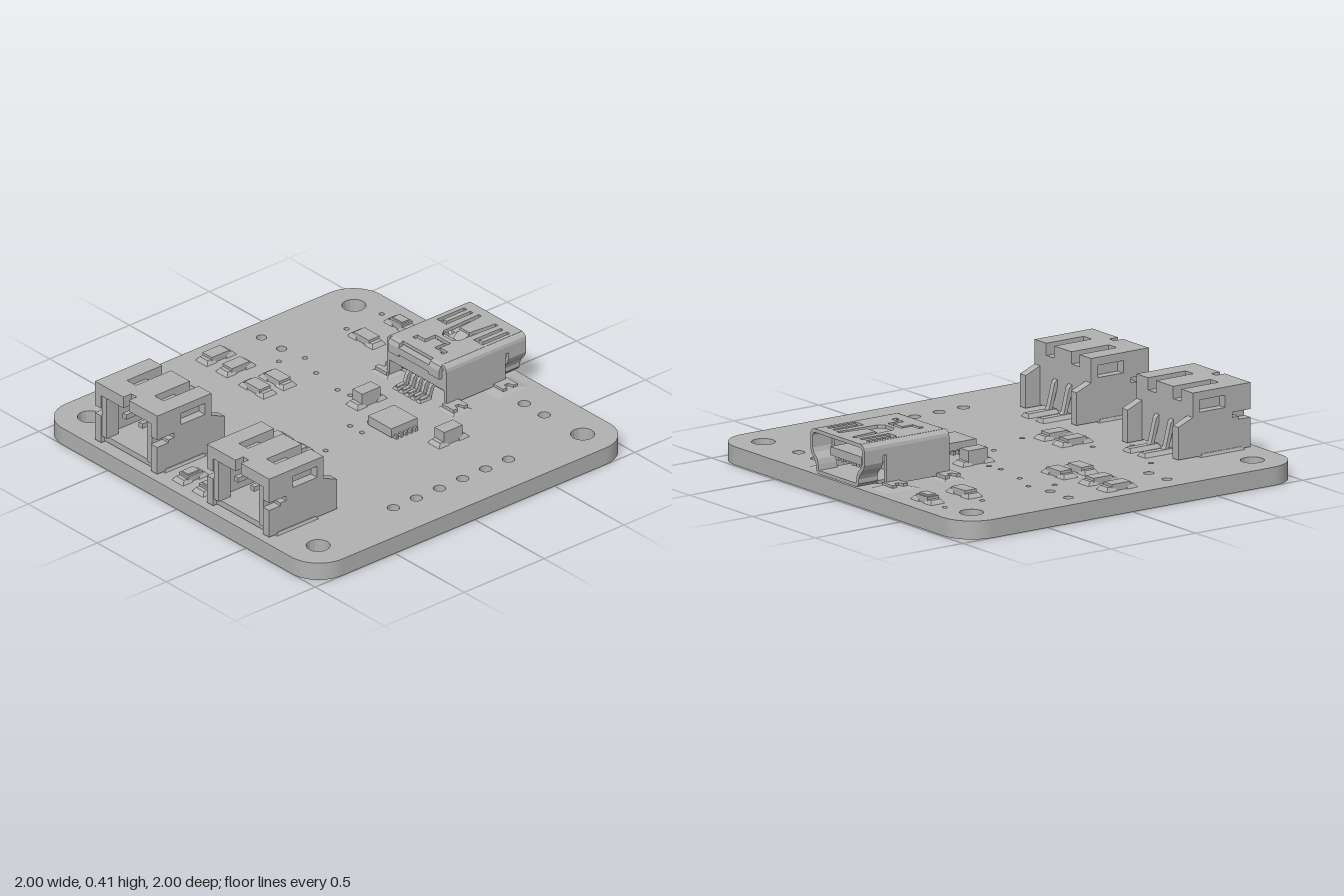
import * as THREE from 'three';

const grey = new THREE.MeshStandardMaterial({ color: 0xb2b2b2, side: THREE.DoubleSide });
grey.name = 'plain grey';
const TOP = 0.09; // upper face of the board

function add(parent, name, geo) {
  const m = new THREE.Mesh(geo, grey);
  m.name = name;
  parent.add(m);
  return m;
}

// Box standing on y0; tx and tz scale its upper face
function box(parent, name, x0, x1, y0, y1, z0, z1, tx = 1, tz = 1) {
  let g = new THREE.BoxGeometry(x1 - x0, y1 - y0, z1 - z0);
  if (tx !== 1 || tz !== 1) {
    const p = g.attributes.position;
    for (let i = 0; i < p.count; i++) {
      if (p.getY(i) > 0) p.setXYZ(i, p.getX(i) * tx, p.getY(i), p.getZ(i) * tz);
    }
    g = g.toNonIndexed();
    g.computeVertexNormals();
  }
  g.translate((x0 + x1) / 2, (y0 + y1) / 2, (z0 + z1) / 2);
  return add(parent, name, g);
}

const poly = (pts) => new THREE.Shape(pts.map((p) => new THREE.Vector2(...p)));
const extrude = (shape, depth) =>
  new THREE.ExtrudeGeometry(shape, { depth, bevelEnabled: false, curveSegments: 8 });

// Plan outline in (x, z), raised from y0 to y1
function plan(parent, name, pts, y0, y1, holes = []) {
  const flip = (a) => a.map(([x, z]) => [x, -z]);
  const s = poly(flip(pts));
  s.holes = holes.map((h) => poly(flip(h)));
  return add(parent, name, extrude(s, y1 - y0).rotateX(-Math.PI / 2).translate(0, y0, 0));
}

// Side outline in (z, y), spanning x0 to x1
function side(parent, name, pts, x0, x1, holes = []) {
  const s = poly(pts);
  s.holes = holes.map(poly);
  return add(parent, name, extrude(s, x1 - x0).rotateY(-Math.PI / 2).translate(x1, 0, 0));
}

// Front outline in (x, y), spanning z0 to z1
function cross(parent, name, pts, z0, z1) {
  return add(parent, name, extrude(poly(pts), z1 - z0).translate(0, 0, z0));
}

const rect = (x0, x1, z0, z1) => [[x0, z0], [x1, z0], [x1, z1], [x0, z1]];
const mirror = (pts) => pts.map(([x, y]) => [-x, y]);

function board(parent) {
  const s = new THREE.Shape(), r = 0.17, a = 0.995;
  const q = Math.PI / 2;
  [[1, 1], [-1, 1], [-1, -1], [1, -1]].forEach(([i, j], k) =>
    s.absarc(i * (a - r + 0.004), j * (a - r), r, k * q, (k + 1) * q, false));
  s.closePath();
  const drill = (r0, list) => list.forEach(([x, z]) => {
    const h = new THREE.Path();
    h.absarc(x, -z - 0.005 + 0.01, r0, 0, Math.PI * 2, true);
    s.holes.push(h);
  });
  drill(0.058, [[-0.83, -0.825], [0.825, -0.825], [-0.83, 0.83], [0.825, 0.83]]);
  drill(0.03, [[0.42, -0.81], [0.565, -0.81]]);
  drill(0.03, [-0.4, -0.257, -0.113, 0.032, 0.177, 0.32].map((z) => [0.78, z]));
  drill(0.025, [[-0.88, -0.29], [-0.735, -0.29], [-0.88, 0.29], [-0.735, 0.29]]);
  drill(0.013, [[-0.68, -0.87], [-0.68, -0.65], [-0.595, -0.315], [-0.65, -0.2], [-0.45, -0.26],
    [-0.26, -0.23], [-0.18, -0.24], [0.045, -0.045], [0.13, -0.045], [0.15, 0.2],
    [-0.18, 0.37], [-0.59, 0.41], [-0.275, 0.535]]);
  add(parent, 'circuitBoard', extrude(s, TOP).rotateX(-Math.PI / 2).translate(0, 0, 0.005));
}

// Small two-ended part; its length runs along x unless turned
function chip(parent, name, x, z, len, wid, h, turned, lamp) {
  const g = new THREE.Group();
  g.name = name;
  for (const s of [-1, 1]) {
    const c = s * (len / 2 + 0.005);
    const m = box(g, 'solderFillet', -0.032, 0.032, TOP, TOP + 0.02, -wid / 2 - 0.008, wid / 2 + 0.008, 0.5, 0.7);
    m.position.x = c;
  }
  box(g, 'chipBody', -len / 2, len / 2, TOP, TOP + h, -wid / 2, wid / 2);
  if (lamp) box(g, 'lampLens', -len / 2 + 0.01, len / 2 - 0.01, TOP + h, TOP + h + 0.008, -wid / 2 + 0.01, wid / 2 - 0.01);
  g.position.set(x, 0, z);
  if (turned) g.rotation.y = Math.PI / 2;
  parent.add(g);
}

function controller(parent) {
  box(parent, 'controllerChip', 0.1, 0.27, TOP + 0.008, 0.145, -0.272, -0.108);
  for (let i = 0; i < 5; i++) {
    for (const s of [-1, 1]) {
      const x = 0.185 + s * 0.088, z = -0.25 + i * 0.03;
      box(parent, 'controllerLead', x - 0.016, x + 0.016, TOP, TOP + 0.018, z - 0.007, z + 0.007);
    }
  }
}

// Two-pole wire socket opening to the front
function wireSocket(parent, cx) {
  const g = new THREE.Group();
  g.name = 'wireSocket';
  const wall = [[0.535, 0.095], [0.96, 0.095], [0.96, 0.24], [0.89, 0.24], [0.89, 0.255], [0.855, 0.255],
    [0.855, 0.28], [0.96, 0.28], [0.96, 0.41], [0.62, 0.41], [0.62, 0.29], [0.535, 0.255]];
  const window = [[0.66, 0.31], [0.81, 0.31], [0.81, 0.37], [0.66, 0.37]];
  side(g, 'sideWall', wall, -0.225, -0.18, [window]);
  side(g, 'sideWall', wall, 0.18, 0.225, [window]);
  // Floor, back and ceiling as one core
  side(g, 'socketCore', [[0.62, 0.1], [0.94, 0.1], [0.94, 0.13], [0.7, 0.13], [0.7, 0.22], [0.8, 0.26],
    [0.8, 0.3], [0.86, 0.3], [0.86, 0.35], [0.62, 0.35]], -0.18, 0.18);
  plan(g, 'socketRoof', [[-0.18, 0.62], [-0.132, 0.62], [-0.132, 0.84], [-0.068, 0.84], [-0.068, 0.62],
    [0.068, 0.62], [0.068, 0.84], [0.132, 0.84], [0.132, 0.62], [0.18, 0.62], [0.18, 0.96],
    [0.02, 0.96], [0.02, 0.91], [-0.02, 0.91], [-0.02, 0.96], [-0.18, 0.96]], 0.35, 0.41);
  for (const s of [-1, 1]) {
    box(g, 'slotStep', s * 0.1 - 0.032, s * 0.1 + 0.032, 0.35, 0.375, 0.72, 0.84);
    box(g, 'frontJamb', s * 0.163 - 0.017, s * 0.163 + 0.017, 0.13, 0.35, 0.88, 0.955);
    const x = s * 0.058;
    box(g, 'contactPin', x - 0.013, x + 0.013, 0.262, 0.288, 0.7, 0.92);
    // Tail that bends down to its pad
    side(g, 'pinTail', [[0.62, 0.25], [0.605, 0.235], [0.575, 0.12], [0.56, 0.105], [0.45, 0.105],
      [0.45, 0.092], [0.57, 0.092], [0.59, 0.105], [0.62, 0.21]], x - 0.014, x + 0.014);
    box(g, 'pinSolder', x - 0.032, x + 0.032, TOP, TOP + 0.02, 0.44, 0.62, 0.55, 0.92);
    box(g, 'anchorSolder', s * 0.205 - 0.03, s * 0.205 + 0.03, TOP, TOP + 0.015, 0.66, 0.92, 0.8, 0.9);
  }
  g.position.x = cx;
  parent.add(g);
}

// Metal-shelled data socket opening to the back
function dataSocket(parent) {
  const g = new THREE.Group();
  g.name = 'dataSocket';
  const spring = (s) => [[0.1, -0.94], [0.12, -0.94], [0.12, -0.79], [0.145, -0.79], [0.145, -0.94],
    [0.165, -0.94], [0.165, -0.77], [0.1, -0.77]].map(([x, z]) => [s * x, z]);
  const arch = [[-0.11, -0.6], [-0.055, -0.6], [-0.055, -0.665], [0.055, -0.665], [0.055, -0.6], [0.11, -0.6],
    [0.11, -0.57], [0.09, -0.57], [0.09, -0.582], [0.035, -0.582], [0.035, -0.643], [-0.035, -0.643],
    [-0.035, -0.582], [-0.09, -0.582], [-0.09, -0.57], [-0.11, -0.57]];
  const tongueGap = [[-0.07, -0.95], [-0.05, -0.95], [-0.035, -0.8], [0.035, -0.8], [0.05, -0.95], [0.07, -0.95],
    [0.06, -0.72], [0.035, -0.69], [-0.035, -0.69], [-0.06, -0.72]];
  plan(g, 'shellTop', rect(-0.185, 0.185, -1, -0.51), 0.297, 0.315,
    [spring(1), spring(-1), arch, tongueGap]);
  side(g, 'latchSpring', [[-0.82, 0.31], [-0.78, 0.295], [-0.73, 0.25], [-0.705, 0.265], [-0.7, 0.255],
    [-0.73, 0.235], [-0.79, 0.28], [-0.82, 0.295]], -0.033, 0.033);

  // Curved shoulder, then straight behind and tapered at the mouth
  const shoulder = [[0.18, 0.297], [0.18, 0.315], [0.198, 0.311], [0.211, 0.299], [0.215, 0.283]];
  const rear = [...shoulder, [0.215, 0.1], [0.197, 0.1], [0.197, 0.28], [0.191, 0.293]];
  const mouth = [...shoulder, [0.215, 0.215], [0.205, 0.19], [0.178, 0.16], [0.17, 0.14], [0.17, 0.118],
    [0.155, 0.1], [0, 0.1], [0, 0.117], [0.148, 0.117], [0.152, 0.145], [0.16, 0.17], [0.188, 0.198],
    [0.197, 0.22], [0.197, 0.28], [0.191, 0.293]];
  const strip = [...shoulder, [0.215, 0.25], [0.197, 0.25], [0.197, 0.28], [0.191, 0.293]];
  for (const f of [(p) => p, mirror]) {
    cross(g, 'shellSide', f(rear), -0.87, -0.5);
    cross(g, 'shellStrip', f(strip), -0.89, -0.87);
    cross(g, 'shellMouth', f(mouth), -1, -0.89);
  }
  box(g, 'shellFloor', -0.17, 0.17, 0.1, 0.117, -0.89, -0.6);

  // Folded rear edge and the moulded core
  side(g, 'rearFold', [[-0.51, 0.315], [-0.49, 0.307], [-0.48, 0.285], [-0.48, 0.24], [-0.497, 0.24],
    [-0.497, 0.28], [-0.51, 0.297]], -0.185, -0.11);
  side(g, 'rearFold', [[-0.51, 0.315], [-0.49, 0.307], [-0.48, 0.285], [-0.48, 0.24], [-0.497, 0.24],
    [-0.497, 0.28], [-0.51, 0.297]], 0.11, 0.185);
  box(g, 'rearLip', -0.11, 0.11, 0.25, 0.288, -0.515, -0.482);
  box(g, 'mouldedCore', -0.196, 0.196, 0.18, 0.285, -0.74, -0.5);
  box(g, 'coreBase', -0.19, 0.19, 0.117, 0.18, -0.74, -0.57);
  box(g, 'contactTongue', -0.125, 0.125, 0.19, 0.232, -0.95, -0.74);
  for (let i = -2; i <= 2; i++) {
    const x = i * 0.042;
    box(g, 'contactStrip', x - 0.011, x + 0.011, 0.172, 0.19, -0.94, -0.74);
    side(g, 'signalLead', [[-0.57, 0.17], [-0.53, 0.17], [-0.51, 0.15], [-0.495, 0.108], [-0.45, 0.105],
      [-0.45, 0.092], [-0.51, 0.092], [-0.53, 0.145], [-0.57, 0.152]], x - 0.01, x + 0.01);
    box(g, 'leadSolder', x - 0.016, x + 0.016, TOP, TOP + 0.01, -0.51, -0.435, 0.7, 0.8);
  }
  // Forked mounting feet on solder
  for (const z of [-0.84, -0.53]) {
    for (const s of [-1, 1]) {
      plan(g, 'mountingFoot', [[0.2, -0.045], [0.285, -0.045], [0.285, -0.02], [0.255, -0.012],
        [0.255, 0.012], [0.285, 0.02], [0.285, 0.045], [0.2, 0.045]].map(([x, d]) => [s * x, z + d]), TOP + 0.008, TOP + 0.025);
      const w = z < -0.7 ? 0.315 : 0.3, d = z < -0.7 ? 0.095 : 0.06;
      box(g, 'footSolder', s > 0 ? 0.18 : -w, s > 0 ? w : -0.18, TOP, TOP + 0.012, z - d, z + d, 0.65, 0.5);
    }
  }
  parent.add(g);
}

export function createModel() {
  const model = new THREE.Group();
  model.name = 'circuitBoardAssembly';
  board(model);
  wireSocket(model, -0.415);
  wireSocket(model, 0.395);
  dataSocket(model);
  controller(model);
  // Resistors
  [[-0.535, -0.65, 0], [-0.51, -0.07, 0], [-0.51, 0.055, 0], [-0.875, 0, 1], [-0.73, 0, 1],
    [-0.07, 0.335, 1], [0.075, 0.335, 1]]
    .forEach(([x, z, t]) => chip(model, 'resistor', x, z, 0.11, 0.068, 0.033, t));
  // Capacitors
  [[-0.085, -0.26], [0.45, -0.31]]
    .forEach(([x, z]) => chip(model, 'capacitor', x, z, 0.115, 0.07, 0.073, 1));
  // Indicator lamps
  [[-0.535, -0.865, 0], [-0.07, 0.855, 1], [0.075, 0.855, 1]]
    .forEach(([x, z, t]) => chip(model, 'indicatorLamp', x, z, 0.09, 0.066, 0.032, t, true));
  return model;
}
